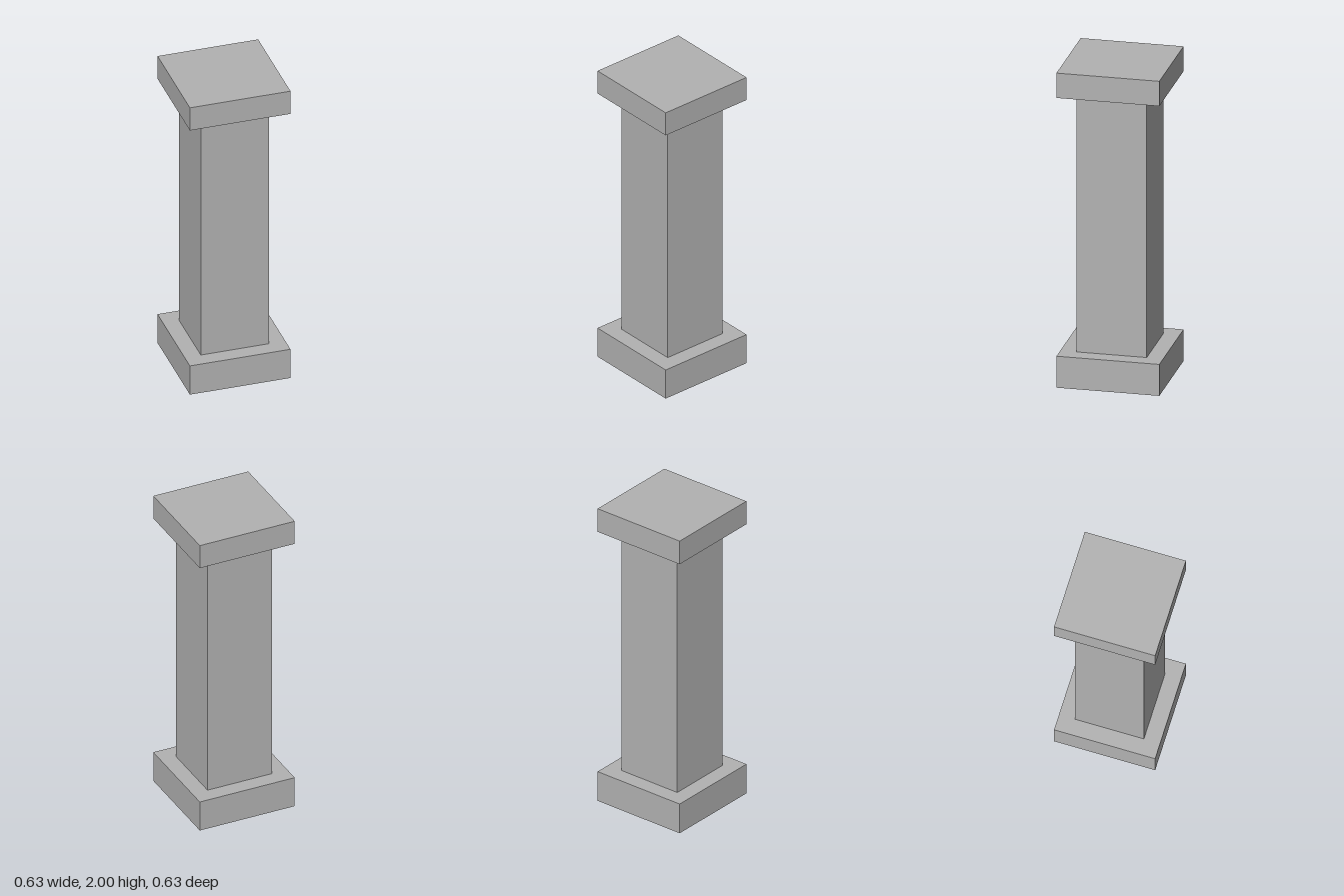
import * as THREE from 'three';

export function createModel() {
  const group = new THREE.Group();
  group.name = 'pillar';

  const stone = new THREE.MeshStandardMaterial({ color: 0xb2b2b2 });
  stone.name = 'grey stone';

  // Square block standing between two heights
  const addBlock = (name, width, bottom, top) => {
    const mesh = new THREE.Mesh(new THREE.BoxGeometry(width, top - bottom, width), stone);
    mesh.name = name;
    mesh.position.y = (bottom + top) / 2;
    group.add(mesh);
  };

  addBlock('base', 0.632, 0, 0.2);
  addBlock('shaft', 0.43, 0.2, 1.842);
  addBlock('capital', 0.632, 1.842, 2);

  return group;
}
